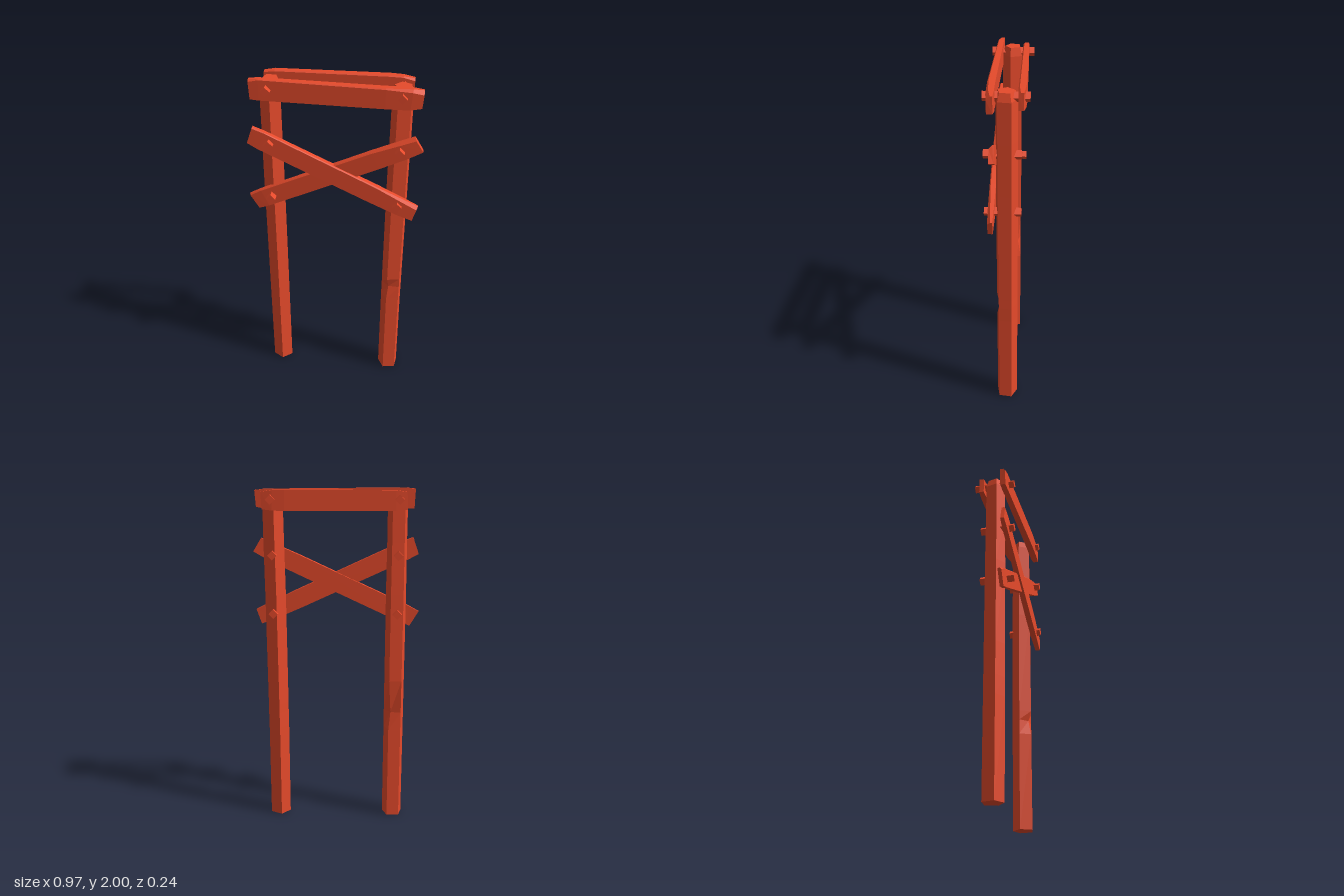
import * as THREE from 'three';

const material = new THREE.MeshStandardMaterial({ color: 0xe64a2b, flatShading: true });

// Solid skinned through rings of points, each ring counterclockwise around the axis
function loft(rings) {
  const n = rings[0].length, last = rings.length - 1, pos = [];
  const tri = (...pts) => pts.forEach((p) => pos.push(...p));
  for (let r = 0; r < last; r++) {
    const a = rings[r], b = rings[r + 1];
    for (let i = 0; i < n; i++) {
      const j = (i + 1) % n;
      tri(a[i], a[j], b[j]);
      tri(a[i], b[j], b[i]);
    }
  }
  for (let i = 1; i < n - 1; i++) {
    tri(rings[0][0], rings[0][i + 1], rings[0][i]);
    tri(rings[last][0], rings[last][i], rings[last][i + 1]);
  }
  const g = new THREE.BufferGeometry();
  g.setAttribute('position', new THREE.Float32BufferAttribute(pos, 3));
  g.computeVertexNormals();
  return g;
}

// Five-sided post: levels are [y, radius, x shift], with one corner chipped at a level
function postGeometry(x, startDeg, levels, chip) {
  return loft(levels.map(([y, radius, shift], level) =>
    Array.from({ length: 5 }, (_, i) => {
      const a = THREE.MathUtils.degToRad(startDeg - i * 72);
      const r = level === chip.level && i === chip.corner ? radius - chip.depth : radius;
      return [x + shift + r * Math.cos(a), y, r * Math.sin(a)];
    })));
}

// Plank along x: sections are [x bottom, x top, y bottom, y top, z back, z front, chamfer]
function plankGeometry(sections) {
  return loft(sections.map(([xb, xt, y0, y1, z0, z1, c]) => [
    [xb, y0, z0], [xt, y1, z0], [xt, y1, z1 - c], [xt, y1 - c, z1], [xb, y0, z1],
  ]));
}

export function createModel() {
  const group = new THREE.Group();
  const add = (name, geometry) => {
    const mesh = new THREE.Mesh(geometry, material);
    mesh.name = name;
    group.add(mesh);
    return mesh;
  };

  // Rough posts with worn tops
  add('rightPost', postGeometry(-0.355, 86,
    [[0, 0.062, 0], [0.57, 0.062, 0], [0.68, 0.062, 0], [0.88, 0.062, 0],
      [1.4, 0.062, 0], [1.7, 0.06, 0], [1.93, 0.06, 0], [1.98, 0.046, 0.003]],
    { level: 2, corner: 2, depth: 0.022 }));
  add('leftPost', postGeometry(0.347, 115,
    [[0, 0.063, 0], [0.58, 0.063, 0], [0.67, 0.063, 0.001], [0.73, 0.063, 0.001],
      [1.4, 0.063, 0.005], [1.7, 0.062, 0.009], [1.93, 0.061, 0.011], [1.975, 0.048, 0.008]],
    { level: 2, corner: 0, depth: 0.02 }));

  // Top planks clamping the posts
  add('frontTopPlank', plankGeometry([
    [-0.45, -0.455, 1.885, 1.995, 0.055, 0.086, 0.012],
    [-0.40, -0.40, 1.882, 2.0, 0.055, 0.088, 0.004],
    [0.27, 0.27, 1.88, 1.993, 0.058, 0.1, 0.006],
    [0.40, 0.41, 1.88, 1.992, 0.056, 0.098, 0.015],
    [0.46, 0.467, 1.89, 1.985, 0.06, 0.092, 0.02],
  ]));
  add('backTopPlank', plankGeometry([
    [-0.405, -0.40, 1.888, 1.985, -0.088, -0.06, 0.005],
    [-0.34, -0.34, 1.884, 1.995, -0.092, -0.058, 0.006],
    [0.28, 0.28, 1.882, 1.997, -0.103, -0.062, 0.006],
    [0.35, 0.35, 1.884, 1.995, -0.1, -0.062, 0.006],
    [0.408, 0.412, 1.89, 1.985, -0.092, -0.064, 0.012],
  ]));

  // Crossed braces, tilted either way
  for (const [name, tilt, z] of [['rearBrace', 0.436, 0], ['frontBrace', -0.436, 0.012]]) {
    const brace = add(name, plankGeometry([
      [-0.505, -0.515, -0.052, 0.05, 0.052, 0.074, 0.008],
      [-0.44, -0.44, -0.056, 0.054, 0.05, 0.078, 0.004],
      [0.25, 0.25, -0.055, 0.053, 0.05, 0.085, 0.006],
      [0.42, 0.42, -0.052, 0.05, 0.052, 0.086, 0.014],
      [0.515, 0.505, -0.045, 0.048, 0.056, 0.084, 0.018],
    ]));
    brace.rotation.z = tilt;
    brace.position.set(-0.003, 1.457, z);
  }

  // Square pegs set on their corners, running through planks and posts
  for (const x of [-0.36, 0.358]) {
    for (const [y, back] of [[1.945, -0.122], [1.63, -0.082], [1.29, -0.082]]) {
      const peg = add('peg', new THREE.CylinderGeometry(0.027, 0.027, 0.12 - back, 4));
      peg.rotation.x = Math.PI / 2;
      peg.position.set(x, y, (0.12 + back) / 2);
    }
  }
  return group;
}
